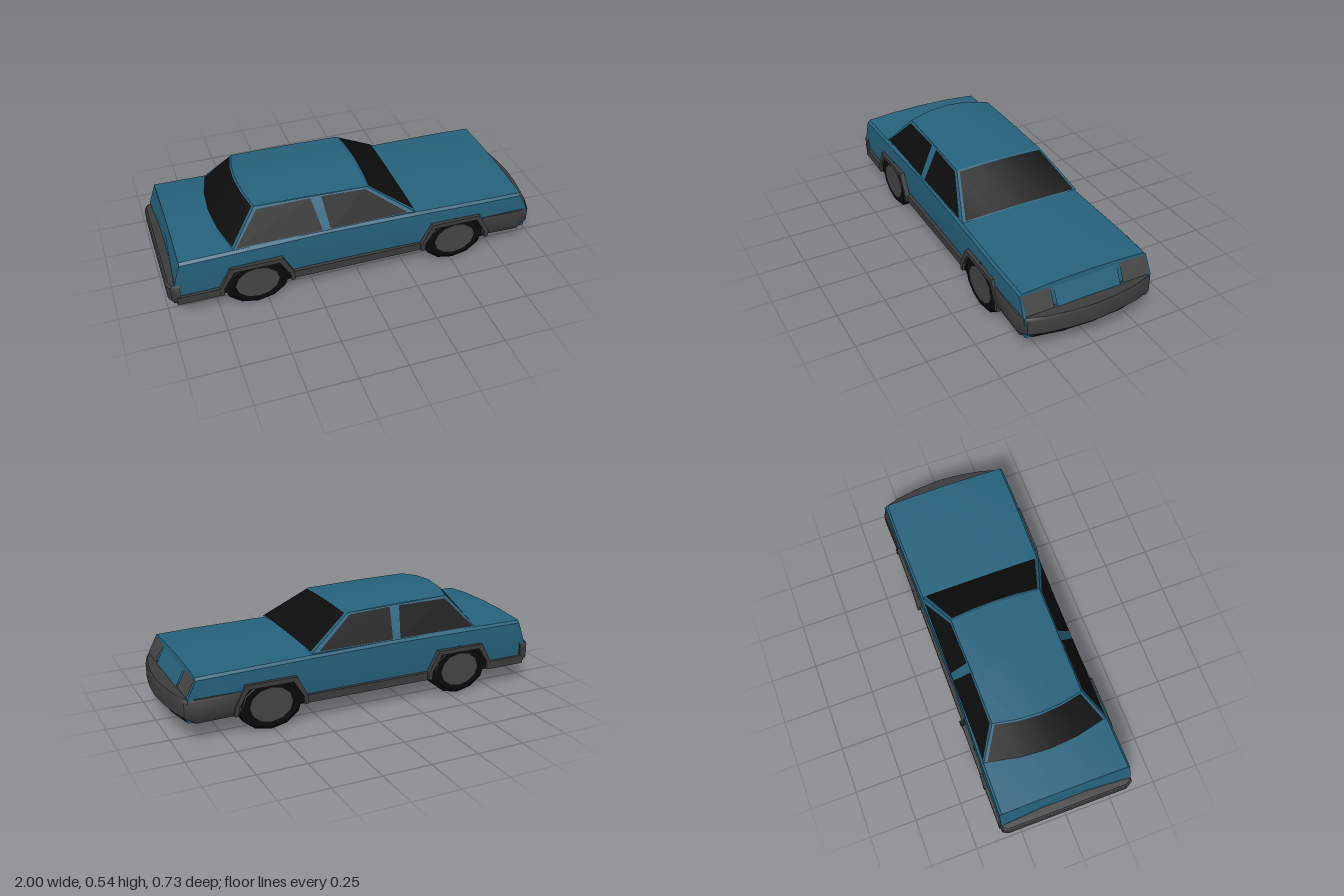
import * as THREE from 'three';
import { toCreasedNormals } from 'three/addons/utils/BufferGeometryUtils.js';

const material = (name, color) => Object.assign(new THREE.MeshStandardMaterial({ color }), { name });

// Skin a list of point rows; closed rows wrap round and get end caps.
function loft(rows, closed = true, crease = 0.55) {
  const n = rows[0].length, index = [], pos = rows.flat(2);
  const last = (rows.length - 1) * n;
  for (let i = 0; i < rows.length - 1; i++) {
    for (let j = 0; j < (closed ? n : n - 1); j++) {
      const k = (j + 1) % n, a = i * n, b = a + n;
      index.push(a + j, b + j, b + k, a + j, b + k, a + k);
    }
  }
  if (closed) {
    for (const row of [rows[0], rows[rows.length - 1]]) {
      for (let c = 0; c < 3; c++) pos.push(row.reduce((s, p) => s + p[c], 0) / n);
    }
    const c = rows.length * n;
    for (let j = 0; j < n; j++) {
      const k = (j + 1) % n;
      index.push(c, j, k, c + 1, last + k, last + j);
    }
  }
  const g = new THREE.BufferGeometry();
  g.setAttribute('position', new THREE.Float32BufferAttribute(pos, 3));
  g.setIndex(index);
  return toCreasedNormals(g, crease);
}

// Four corners, counter-clockwise from outside.
const quad = ([a, b, c, d]) => loft([[a, d], [b, c]], false);
const mirrorZ = (pts) => pts.map(([x, y, z]) => [x, y, -z]).reverse();

function extrude(points, depth, hole) {
  const shape = new THREE.Shape(points.map((p) => new THREE.Vector2(...p)));
  if (hole) shape.holes.push(new THREE.Path(hole.map((p) => new THREE.Vector2(...p))));
  return new THREE.ExtrudeGeometry(shape, { depth, bevelEnabled: false });
}

export function createModel() {
  const paint = material('blue paint', 0x26627d);
  const glass = material('dark glass', 0x0d0d0d);
  const rubber = material('black rubber', 0x0a0a0a);
  const trim = material('grey trim', 0x3c3c3c);
  const metal = material('light grey', 0x454545);
  const car = new THREE.Group();
  car.name = 'car';
  const add = (name, geometry, mat) => {
    const mesh = new THREE.Mesh(geometry, mat);
    mesh.name = name;
    car.add(mesh);
    return mesh;
  };

  // Lower body: top x, bottom x, half width, belt height, crown height
  const stations = [
    [-0.93, -0.965, 0.352, 0.345, 0.367],
    [-0.6, -0.6, 0.347, 0.345, 0.365],
    [-0.2, -0.2, 0.335, 0.342, 0.361],
    [0.3, 0.3, 0.342, 0.338, 0.357],
    [0.7, 0.7, 0.35, 0.332, 0.351],
    [0.885, 0.93, 0.348, 0.327, 0.345],
  ];
  add('body', loft(stations.map(([xt, xb, w, belt, top]) => {
    const half = [
      [xb, 0.11, w - 0.012], [xb, 0.23, w], [xt, belt - 0.008, w - 0.004],
      [xt, belt + 0.005, w - 0.016], [xt, top - 0.004, w * 0.5],
    ];
    return [...half, [xt, top, 0], ...mirrorZ(half)];
  }), true, 0.45), paint);

  // Greenhouse: rows run from rear base to front base, columns across the car
  const columns = [1, 0.5, 0, -0.5, -1];
  const row = (xMid, xEdge, yMid, yEdge, w, lift = 0) => columns.map((t) => {
    const q = t * t;
    return [xMid + (xEdge - xMid) * q, yMid + (yEdge - yMid) * q + lift, w * t];
  });
  const rearBase = row(-0.71, -0.66, 0.362, 0.35, 0.33);
  const rearTop = row(-0.56, -0.525, 0.537, 0.515, 0.235);
  const frontTop = row(0.065, 0.055, 0.517, 0.503, 0.242);
  const frontBase = row(0.29, 0.29, 0.355, 0.35, 0.33);
  const middle = rearTop.map((p, j) => p.map((v, c) => (v + frontTop[j][c]) / 2 + (c === 1 ? 0.003 : 0)));
  add('cabin', loft([rearBase, rearTop, middle, frontTop, frontBase], false, 0.4), paint);
  const side = [rearBase[0], frontBase[0], frontTop[0], rearTop[0]];
  add('cabinSideLeft', quad(side), paint);
  add('cabinSideRight', quad(mirrorZ(side)), paint);

  // Windscreen and rear window: inset strips just proud of the cabin
  const pane = (a, b, v0, v1, shift) => loft([v0, v1].map((v) => a.map((p, j) => p.map((s, c) => {
    const m = s + (b[j][c] - s) * v;
    return c === 2 ? m * 0.95 : m + (c === 0 ? shift : 0.004);
  }))), false);
  add('windscreen', pane(frontTop, frontBase, 0.04, 0.98, 0.003), glass);
  add('rearWindow', pane(rearBase, rearTop, 0.02, 0.96, -0.004), glass);

  // Side windows lie on the sloping cabin sides
  const onSide = ([x, y]) => [x, y, 0.333 - (y - 0.35) * 0.576];
  const windows = {
    rearSideWindow: [[-0.645, 0.356], [-0.205, 0.356], [-0.24, 0.503], [-0.515, 0.503]],
    frontSideWindow: [[-0.163, 0.356], [0.25, 0.356], [0.045, 0.495], [-0.185, 0.503]],
  };
  for (const [name, pts] of Object.entries(windows)) {
    const left = pts.map(onSide);
    add(name + 'Left', quad(left), glass);
    add(name + 'Right', quad(mirrorZ(left)), glass);
  }

  // Nose details on the sloping front face
  const nose = (y) => 0.885 + 0.045 * (0.32 - y) / 0.09 + 0.005;
  const nosePlate = (z0, z1, y0, y1) =>
    quad([[nose(y0), y0, z1], [nose(y0), y0, z0], [nose(y1), y1, z0], [nose(y1), y1, z1]]);
  add('grillePanel', nosePlate(-0.172, 0.172, 0.232, 0.326), paint);
  add('headlightLeft', nosePlate(0.188, 0.336, 0.236, 0.322), metal);
  add('headlightRight', nosePlate(-0.336, -0.188, 0.236, 0.322), metal);

  // Bumpers: plan outlines stacked with a tucked-in bottom and top
  const bumper = (half, anchor, levels) => loft(levels.map(([y, inset]) => {
    const ring = half.map(([x, z]) => [
      Math.abs(x) > 0.9 ? x - Math.sign(x) * inset : x, y, z * (1 - inset * 1.7)]);
    return [...ring, ...mirrorZ(ring).filter((p) => p[2] !== 0)];
  }), true, 0.7);
  const frontHalf = [[0.67, -0.357], [0.89, -0.364], [0.945, -0.335], [0.972, -0.25], [0.992, -0.12], [1, 0]];
  add('frontBumper', bumper(frontHalf, 0.67, [[0.105, 0.03], [0.14, 0], [0.215, 0], [0.23, 0.008], [0.235, 0.07]]), trim);
  const rearHalf = [[-0.94, 0.358], [-0.985, 0.352], [-1, 0.325], [-1, 0]];
  add('rearBumper', bumper(rearHalf, -0.94, [[0.105, 0.02], [0.135, 0], [0.21, 0], [0.222, 0.01], [0.224, 0.04]]), trim);

  // Floor
  const floorHalf = [[-0.975, 0.335], [0.88, 0.335], [0.93, 0.3], [0.96, 0.15]];
  const floor = add('floor', extrude(
    [...floorHalf, ...floorHalf.map(([x, z]) => [x, -z]).reverse()], 0.008), rubber);
  floor.rotation.x = -Math.PI / 2;
  floor.position.y = 0.103;

  // Wheels, arches and sills on both sides
  const tyre = toCreasedNormals(new THREE.LatheGeometry([
    [0.085, -0.053], [0.118, -0.055], [0.135, -0.042], [0.135, 0.042], [0.118, 0.055], [0.085, 0.053],
  ].map((p) => new THREE.Vector2(...p)), 12), 0.7).rotateX(Math.PI / 2).scale(1.25, 1, 1);
  const hub = new THREE.CylinderGeometry(0.09, 0.09, 0.112, 12).rotateX(Math.PI / 2).scale(1.25, 1, 1);
  const inner = [[-0.172, 0.108], [-0.168, 0.15], [-0.115, 0.236], [0.115, 0.236], [0.168, 0.15], [0.172, 0.108]];
  const arch = extrude([
    [-0.192, 0.108], [-0.192, 0.147], [-0.134, 0.26], [0.134, 0.26], [0.192, 0.147], [0.192, 0.108],
    ...inner.slice().reverse(),
  ], 0.025);
  const well = extrude(inner, 0.02);
  for (const [s, label] of [[1, 'Left'], [-1, 'Right']]) {
    for (const [x, end] of [[-0.555, 'rear'], [0.515, 'front']]) {
      const place = (part, geometry, mat, y, z) =>
        add(end + part + label, geometry, mat).position.set(x, y, z);
      place('Tyre', tyre, rubber, 0.135, s * 0.298);
      place('Hub', hub, metal, 0.135, s * 0.298);
      place('ArchTrim', arch, trim, 0, s > 0 ? 0.339 : -0.364);
      place('WheelWell', well, rubber, 0, s > 0 ? 0.3305 : -0.3505);
    }
    for (const [x0, x1, z] of [[-0.96, -0.74, 0.349], [-0.37, 0.33, 0.339]]) {
      const sill = new THREE.BoxGeometry(x1 - x0, 0.042, 0.02);
      add('sillTrim' + label, sill, trim).position.set((x0 + x1) / 2, 0.126, s * z);
    }
  }
  return car;
}
